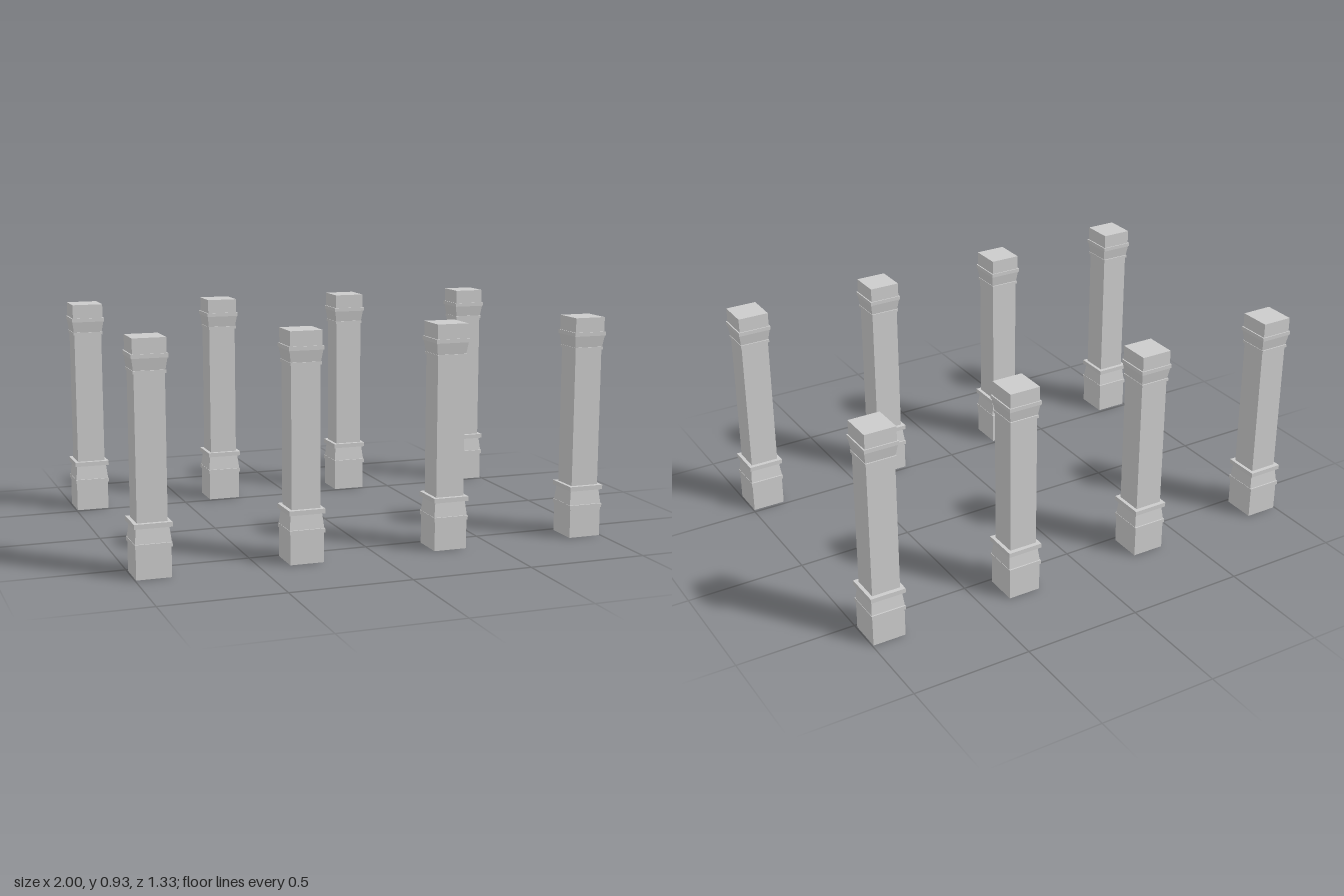
import * as THREE from 'three';

const material = new THREE.MeshStandardMaterial({ color: 0xcccccc, flatShading: true });

// Square block from y0 to y1; bottom and top are [half width, half depth]
function block(name, y0, y1, bottom, top = bottom) {
  const geometry = new THREE.BoxGeometry(2, y1 - y0, 2);
  geometry.translate(0, (y0 + y1) / 2, 0);
  const p = geometry.attributes.position;
  const middle = (y0 + y1) / 2;
  for (let i = 0; i < p.count; i++) {
    const half = p.getY(i) > middle ? top : bottom;
    p.setX(i, p.getX(i) * half[0]);
    p.setZ(i, p.getZ(i) * half[1]);
  }
  geometry.computeVertexNormals();
  const mesh = new THREE.Mesh(geometry, material);
  mesh.name = name;
  return mesh;
}

function createPillar() {
  const pillar = new THREE.Group();
  pillar.add(
    // Foot
    block('plinth', 0, 0.122, [0.07, 0.071]),
    block('lowerBaseBand', 0.122, 0.139, [0.0735, 0.076]),
    block('baseTaper', 0.139, 0.2, [0.072, 0.07], [0.065, 0.062]),
    block('upperBaseBand', 0.2, 0.219, [0.075, 0.0765]),
    // Shaft
    block('shaft', 0.219, 0.79, [0.06, 0.0585]),
    // Head
    block('neckBand', 0.79, 0.802, [0.064, 0.065]),
    block('neckTaper', 0.802, 0.849, [0.062, 0.06], [0.069, 0.068]),
    block('capitalBand', 0.849, 0.865, [0.0715, 0.072]),
    block('capital', 0.865, 0.925, [0.066, 0.0675]),
  );
  return pillar;
}

export function createModel() {
  const model = new THREE.Group();
  model.name = 'colonnade';
  // Two rows of four pillars
  for (const [row, z] of [['front', 0.5865], ['back', -0.5865]]) {
    [-0.925, -0.3083, 0.3083, 0.925].forEach((x, i) => {
      const pillar = createPillar();
      pillar.name = `${row}Pillar${i + 1}`;
      pillar.position.set(x, 0, z);
      model.add(pillar);
    });
  }
  return model;
}
